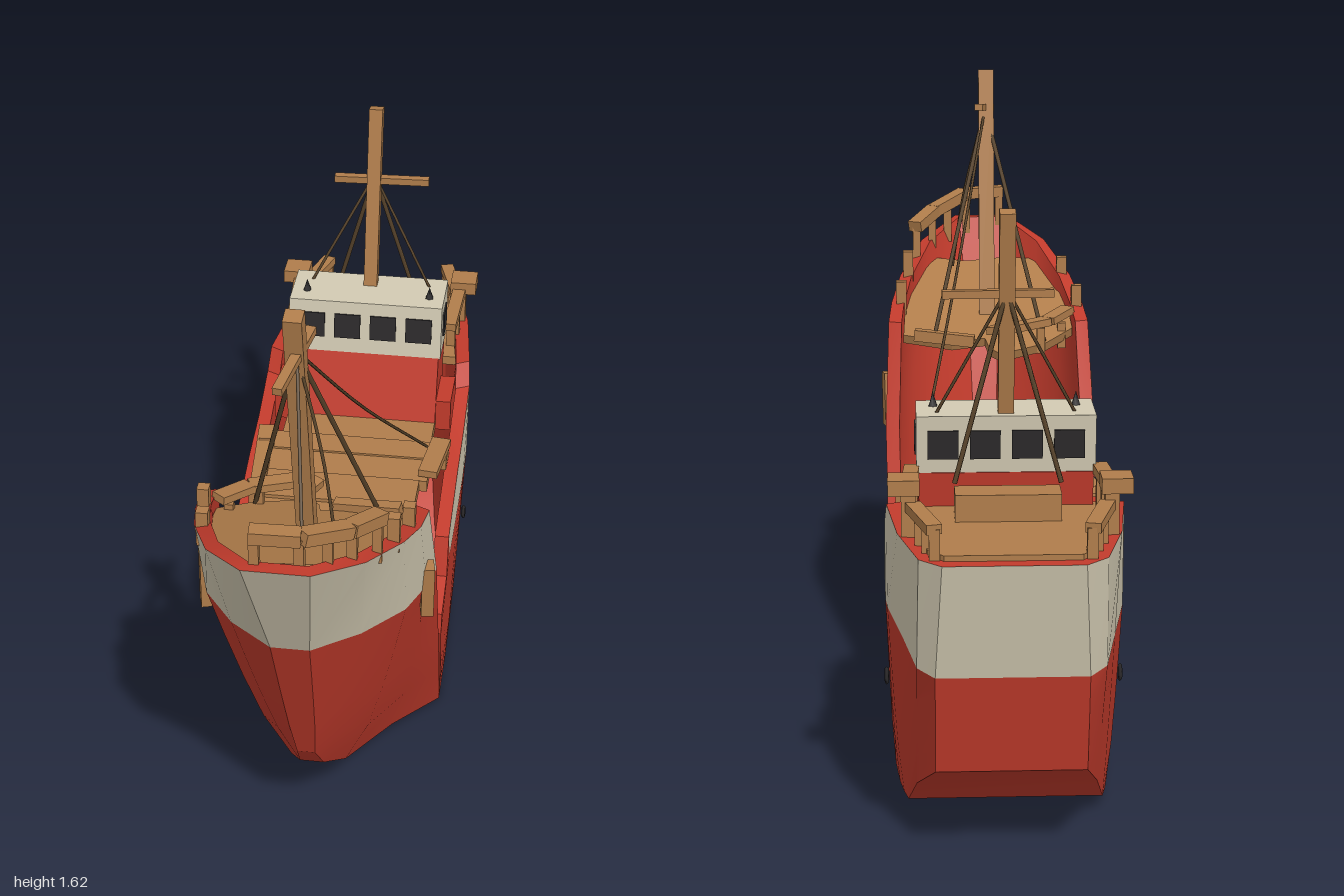
import * as THREE from 'three';
import { toCreasedNormals } from 'three/addons/utils/BufferGeometryUtils.js';

const mat = (name, color, side = THREE.FrontSide) => new THREE.MeshStandardMaterial({ name, color, side });
const V = (x, y, z) => new THREE.Vector3(x, y, z);
const mirror = (p) => V(-p.x, p.y, p.z);

export function createModel() {
  const ship = new THREE.Group();
  ship.name = 'wreckedShip';
  const red = mat('hullRed', 0xc23b2c, THREE.DoubleSide);
  const white = mat('paintedCream', 0xd3cbb3);
  const wood = mat('wood', 0xb07d4b);
  const dark = mat('darkGlass', 0x2c2a2b);
  const ropeMat = mat('rope', 0x5a452c);

  const add = (name, geo, material, parent = ship) => {
    const m = new THREE.Mesh(geo, material);
    m.name = name;
    parent.add(m);
    return m;
  };
  // quad sheet through a grid of points, g[column][row]
  const sheet = (name, g, material) => {
    const pos = [];
    for (let i = 0; i < g.length - 1; i++)
      for (let j = 0; j < g[i].length - 1; j++) {
        const [a, b, c, d] = [g[i][j], g[i + 1][j], g[i + 1][j + 1], g[i][j + 1]];
        for (const p of [a, b, c, a, c, d]) pos.push(p.x, p.y, p.z);
      }
    const geo = new THREE.BufferGeometry();
    geo.setAttribute('position', new THREE.Float32BufferAttribute(pos, 3));
    geo.computeVertexNormals();
    return add(name, toCreasedNormals(geo, 0.45), material);
  };
  const box = (name, x0, x1, y0, y1, z0, z1, material = wood) => {
    const m = add(name, new THREE.BoxGeometry(x1 - x0, y1 - y0, z1 - z0), material);
    m.position.set((x0 + x1) / 2, (y0 + y1) / 2, (z0 + z1) / 2);
    return m;
  };
  // straight timber from a to b
  const beam = (name, a, b, w, h = w, material = wood) => {
    const m = add(name, new THREE.BoxGeometry(w, h, a.distanceTo(b)), material);
    m.position.copy(a).lerp(b, 0.5);
    m.lookAt(b);
    return m;
  };
  const rail = (name, pts, w, h) => {
    for (let i = 0; i < pts.length - 1; i++) beam(name, pts[i], pts[i + 1], w, h);
  };
  const rope = (name, pts, r = 0.004) =>
    add(name, new THREE.TubeGeometry(new THREE.CatmullRomCurve3(pts), 10, r, 5), ropeMat);
  // side profile of [z, y] points, extruded across x
  const prism = (name, profile, width, material) => {
    const geo = new THREE.ExtrudeGeometry(new THREE.Shape(profile.map((p) => new THREE.Vector2(...p))),
      { depth: width, bevelEnabled: false });
    return add(name, geo.translate(0, 0, -width / 2).rotateY(-Math.PI / 2), material);
  };

  // hull column: bilge, paint line, gunwale, with the red part bulging outwards
  const R = 4;
  const column = ([b, p, t]) => {
    const c = [];
    for (let j = 0; j <= R; j++) {
      const k = j / R;
      const q = V(...b).lerp(V(...p), k);
      q.x = b[0] + (p[0] - b[0]) * Math.pow(k, 0.7);
      c.push(q);
    }
    return [...c, V(...t)];
  };
  const inset = (c) => c.map((p, j) => V(p.x * 0.87, p.y + 0.03 * Math.max(0, 1 - j / R), p.z * 0.965));
  const hullHalf = (name, cols, ring, bare) => {
    const n = ring.length;
    sheet(name + 'HullSides', ring.map((c) => c.slice(0, R + 1)), red);
    sheet(name + 'HullBand', ring.slice(bare, n - bare).map((c) => c.slice(R)), white);
    if (bare) {
      sheet(name + 'TornEdge', ring.slice(0, bare + 1).map((c) => c.slice(R)), red);
      sheet(name + 'TornEdge', ring.slice(n - bare - 1).map((c) => c.slice(R)), red);
    }
    const inner = ring.map(inset);
    sheet(name + 'InnerSkin', [...inner].reverse(), red);
    sheet(name + 'Gunwale', ring.map((c, i) => [c[R + 1], inner[i][R + 1]]), red);
    for (const i of [0, n - 1]) sheet(name + 'BreakEdge', [ring[i], inner[i]], red);
    const keel = cols.map((c) => c[0]);
    sheet(name + 'Bottom', [keel.map(mirror), keel], red);
    const floor = cols.map((c) => inset(c)[0]);
    sheet(name + 'Floor', [floor, floor.map(mirror)], red);
  };

  // bow half, from the break to the stem
  const bow = [
    [[0.265, 0.015, -0.02], [0.28, 0.72, 0.33], [0.27, 0.98, 0.45]],
    [[0.16, 0.08, 0.18], [0.268, 0.765, 0.46], [0.262, 1.01, 0.56]],
    [[0.07, 0.16, 0.42], [0.235, 0.80, 0.60], [0.238, 1.06, 0.69]],
    [[0.03, 0.24, 0.53], [0.15, 0.83, 0.74], [0.175, 1.13, 0.87]],
    [[0.022, 0.35, 0.62], [0.045, 0.84, 0.83], [0.075, 1.18, 1.0]],
  ].map(column);
  hullHalf('bow', bow, [...bow.map((c) => c.map(mirror)), ...[...bow].reverse()], 0);

  // stern half, from the break to the transom
  const stern = [
    [[0.265, 0.015, -0.02], [0.28, 0.375, 0.15], [0.28, 0.43, 0.14]],
    [[0.265, 0.017, -0.06], [0.28, 0.44, 0.04], [0.28, 0.47, 0.03]],
    [[0.265, 0.02, -0.1], [0.28, 0.49, -0.04], [0.28, 0.575, 0.0]],
    [[0.265, 0.03, -0.2], [0.282, 0.505, -0.2], [0.28, 0.635, -0.22]],
    [[0.26, 0.035, -0.35], [0.282, 0.512, -0.38], [0.28, 0.66, -0.37]],
    [[0.25, 0.043, -0.48], [0.28, 0.515, -0.5], [0.28, 0.71, -0.52]],
    [[0.24, 0.047, -0.55], [0.275, 0.515, -0.56], [0.275, 0.765, -0.56]],
    [[0.23, 0.05, -0.6], [0.24, 0.508, -0.75], [0.25, 0.762, -0.78]],
    [[0.21, 0.12, -0.67], [0.21, 0.49, -0.9], [0.205, 0.757, -0.955]],
    [[0.17, 0.24, -0.89], [0.17, 0.48, -0.94], [0.155, 0.755, -1.0]],
  ].map(column);
  hullHalf('stern', [...stern].reverse(), [...stern, ...[...stern].reverse().map((c) => c.map(mirror))], 2);

  // small diamond scuppers
  for (const s of [-1, 1]) {
    const d = add('scupper', new THREE.TorusGeometry(0.018, 0.005, 4, 4), dark);
    d.position.set(s * 0.279, 0.315, -0.48);
    d.rotation.y = Math.PI / 2;
  }

  // torn bow deck, tilted upward
  const bowOutline = [[-0.23, 0.1], [-0.15, 0.02], [-0.03, -0.03], [0, 0], [0.01, 0.05], [0.1, 0.03], [0.23, 0.07],
    [0.225, 0.2], [0.2, 0.36], [0.14, 0.49], [0.05, 0.47], [-0.06, 0.49], [-0.15, 0.48], [-0.2, 0.36], [-0.225, 0.2]];
  const deck = add('bowDeck', new THREE.ExtrudeGeometry(
    new THREE.Shape(bowOutline.map((p) => new THREE.Vector2(...p))), { depth: 0.025, bevelEnabled: false })
    .rotateX(Math.PI / 2), wood);
  deck.position.set(0, 0.92, 0.38);
  deck.rotation.x = -0.34;

  // main deck planks: z range, x range, lift
  for (const [z0, z1, x0, x1, dy] of [[-0.43, -0.28, -0.2, 0.2, 0], [-0.278, -0.2, -0.25, 0.25, 0.006],
    [-0.198, -0.1, -0.23, 0.21, 0.002], [-0.098, 0.02, -0.24, 0.19, 0.006], [0.022, 0.1, -0.2, 0.2, -0.002],
    [0.102, 0.26, -0.185, 0.19, 0]])
    box('deckPlank', x0, x1, 0.64 + dy, 0.672 + dy, z0, z1);
  beam('loosePlank', V(0.23, 0.69, -0.27), V(0.21, 0.69, -0.11), 0.05, 0.02);
  beam('loosePlank', V(-0.24, 0.69, -0.27), V(-0.22, 0.67, 0.02), 0.04, 0.02);
  beam('loosePlank', V(-0.24, 0.64, -0.34), V(-0.23, 0.69, -0.2), 0.04, 0.02);

  // stern deck
  const poop = [[-0.15, -0.965], [0.15, -0.965], [0.185, -0.92], [0.235, -0.57], [-0.235, -0.57], [-0.185, -0.92]];
  const poopDeck = add('sternDeck', new THREE.ExtrudeGeometry(
    new THREE.Shape(poop.map((p) => new THREE.Vector2(...p))), { depth: 0.025, bevelEnabled: false })
    .rotateX(Math.PI / 2), wood);
  poopDeck.position.y = 0.768;

  // wheelhouse
  prism('wheelhouseBase', [[-0.37, 0.64], [-0.44, 0.85], [-0.603, 0.85], [-0.575, 0.64]], 0.4, red);
  prism('wheelhouseCabin', [[-0.437, 0.84], [-0.457, 0.985], [-0.612, 0.985], [-0.599, 0.84]], 0.41, white);
  for (const x of [-0.144, -0.048, 0.048, 0.144])
    for (const [z, tilt] of [[-0.4475, -0.137], [-0.606, -0.09]]) {
      const w = add('cabinWindow', new THREE.BoxGeometry(0.07, 0.068, 0.008), dark);
      w.position.set(x, 0.917, z);
      w.rotation.x = tilt;
    }
  for (const s of [-1, 1]) {
    const w = add('sideWindow', new THREE.BoxGeometry(0.008, 0.065, 0.07), dark);
    w.position.set(s * 0.205, 0.915, -0.524);
    const lamp = add('roofLamp', new THREE.ConeGeometry(0.012, 0.035, 6), dark);
    lamp.position.set(s * 0.165, 1.0, -0.51);
    box('coaming', s > 0 ? 0.2 : -0.24, s > 0 ? 0.24 : -0.2, 0.64, 0.73, -0.53, -0.4, red);
  }

  // masts, crosstrees and rigging
  beam('foreMast', V(0, 0.95, 0.56), V(-0.003, 1.63, 0.7), 0.042);
  beam('foreCrosstree', V(-0.02, 1.515, 0.82), V(0.02, 1.54, 0.6), 0.022, 0.018);
  beam('aftMast', V(0, 0.96, -0.565), V(0, 1.46, -0.66), 0.036);
  beam('aftCrosstree', V(-0.105, 1.27, -0.62), V(0.145, 1.27, -0.63), 0.022, 0.018);
  const foreTop = V(0, 1.53, 0.68), aftTop = V(0, 1.28, -0.63);
  rope('foreStay', [foreTop, V(0.04, 1.22, 0.89)]);
  rope('foreStay', [foreTop, V(0.06, 1.28, 0.71), V(0.09, 1.08, 0.73)]);
  rope('longStay', [foreTop, V(0.09, 1.14, 0.28), V(0.2, 0.73, -0.18)]);
  for (const s of [-1, 1]) {
    rope('foreShroud', [foreTop, V(s * 0.15, 0.93, 0.41)], 0.006);
    rope('aftShroud', [aftTop, V(s * 0.12, 0.85, -0.69)], 0.006);
    rope('aftStay', [aftTop, V(s * 0.16, 0.98, -0.57)]);
  }

  // bow railing
  const bowRail = [V(-0.06, 1.255, 0.97), V(0.05, 1.25, 0.96), V(0.14, 1.215, 0.87), V(0.195, 1.185, 0.77)];
  rail('bowRail', bowRail, 0.04, 0.03);
  for (const [x, y, z] of [[-0.05, 1.25, 0.965], [0.045, 1.245, 0.955], [0.1, 1.23, 0.91], [0.145, 1.21, 0.86], [0.19, 1.185, 0.785]])
    box('bowRailPost', x - 0.011, x + 0.011, y - 0.11, y, z - 0.011, z + 0.011);
  for (const [x, y, z] of [[0.215, 1.13, 0.69], [0.235, 1.07, 0.56], [-0.245, 1.06, 0.54], [-0.215, 1.11, 0.7]])
    box('bowStump', x - 0.014, x + 0.014, y - 0.09, y, z - 0.014, z + 0.014);

  // broken railing along the torn deck edge
  rail('brokenRail', [V(-0.22, 1.0, 0.5), V(-0.16, 0.985, 0.42), V(-0.04, 0.975, 0.36), V(0.0, 0.97, 0.38)], 0.04, 0.02);
  for (const [x, z] of [[-0.2, 0.47], [-0.14, 0.405], [-0.04, 0.365]])
    box('brokenRailPost', x - 0.011, x + 0.011, 0.9, 0.97, z - 0.011, z + 0.011);
  beam('brokenRail', V(0.04, 0.935, 0.4), V(0.2, 0.95, 0.42), 0.03, 0.03);

  // fenders hanging on the bow sides
  beam('fender', V(0.27, 0.69, 0.46), V(0.272, 0.835, 0.47), 0.03, 0.04);
  beam('fender', V(-0.268, 0.66, 0.46), V(-0.265, 0.835, 0.47), 0.025, 0.04);

  // stern railings and posts on both sides
  for (const s of [-1, 1]) {
    rail('sternRail', [V(s * 0.215, 0.855, -0.58), V(s * 0.225, 0.865, -0.78)], 0.035, 0.022);
    rail('sternRail', [V(s * 0.215, 0.83, -0.8), V(s * 0.17, 0.825, -0.96)], 0.035, 0.022);
    for (const [x, z, y] of [[0.215, -0.64, 0.86], [0.22, -0.71, 0.86], [0.2, -0.85, 0.825], [0.185, -0.9, 0.825], [0.17, -0.95, 0.825]])
      box('sternRailPost', s * x - 0.012, s * x + 0.012, 0.755, y, z - 0.012, z + 0.012);
    box('sternBollard', s * 0.225 - 0.016, s * 0.225 + 0.016, 0.755, 0.88, -0.805, -0.775);
    box('bollardCap', s * 0.235 - 0.035, s * 0.235 + 0.035, 0.86, 0.895, -0.825, -0.755);
  }
  box('sternBench', -0.12, 0.12, 0.765, 0.83, -0.72, -0.64);
  return ship;
}
